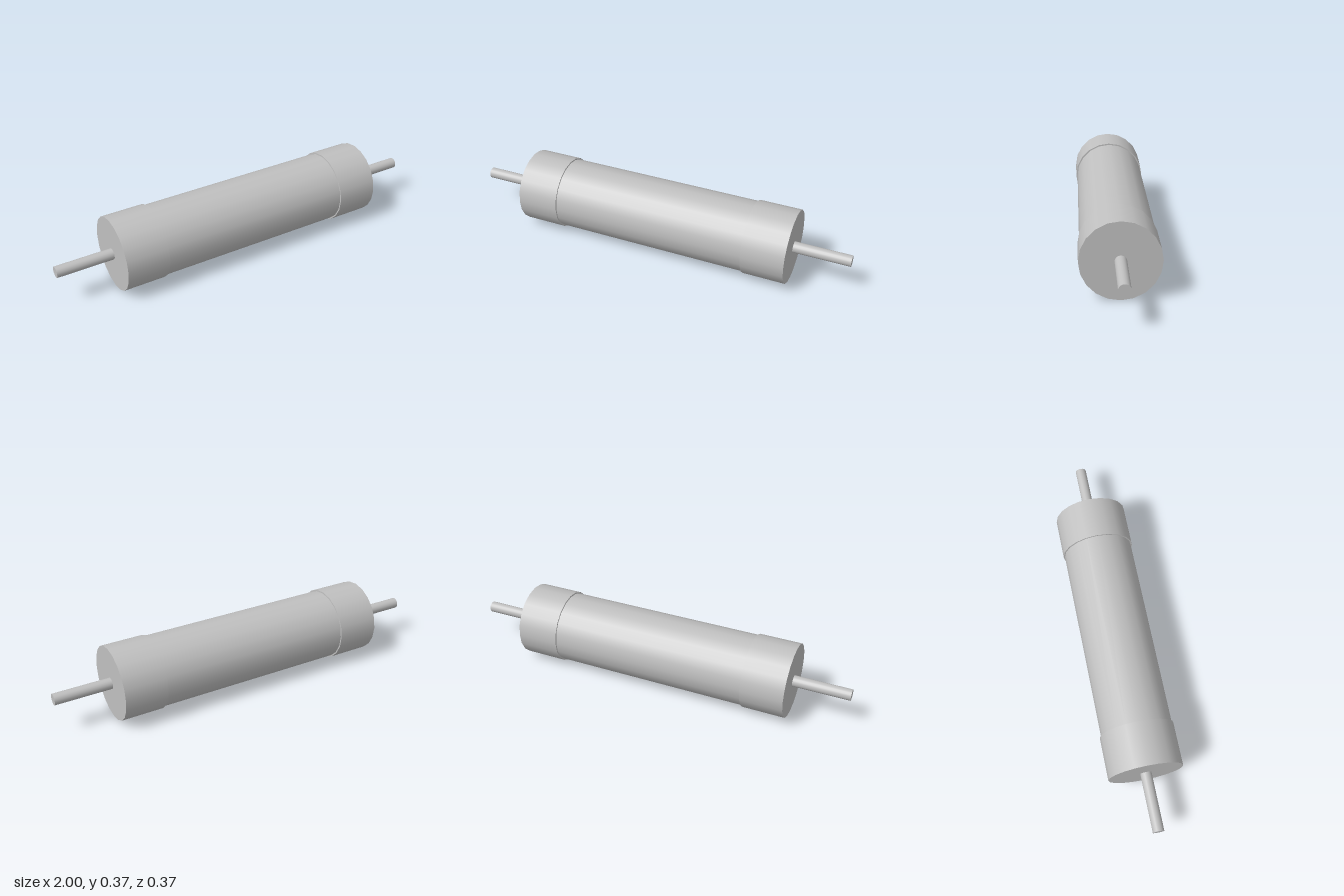
import * as THREE from 'three';

const RADIUS = 0.186; // end cap radius, also the height of the axis

export function createModel() {
  const group = new THREE.Group();
  group.name = 'axialComponent';

  const metal = new THREE.MeshStandardMaterial({ color: 0xc0c0c0 });
  metal.name = 'light grey';

  // Cylinder lying along x, between x0 and x1
  const addRod = (name, radius, x0, x1) => {
    const geometry = new THREE.CylinderGeometry(radius, radius, x1 - x0, 20);
    geometry.rotateZ(-Math.PI / 2);
    const mesh = new THREE.Mesh(geometry, metal);
    mesh.name = name;
    mesh.position.set((x0 + x1) / 2, RADIUS, 0);
    group.add(mesh);
  };

  // Slightly narrower body between the caps
  addRod('body', 0.179, -0.5, 0.5);

  // End caps
  addRod('leftCap', RADIUS, 0.5, 0.715);
  addRod('rightCap', RADIUS, -0.715, -0.5);

  // Wire leads
  addRod('leftLead', 0.028, 0.715, 1);
  addRod('rightLead', 0.028, -1, -0.715);

  return group;
}
